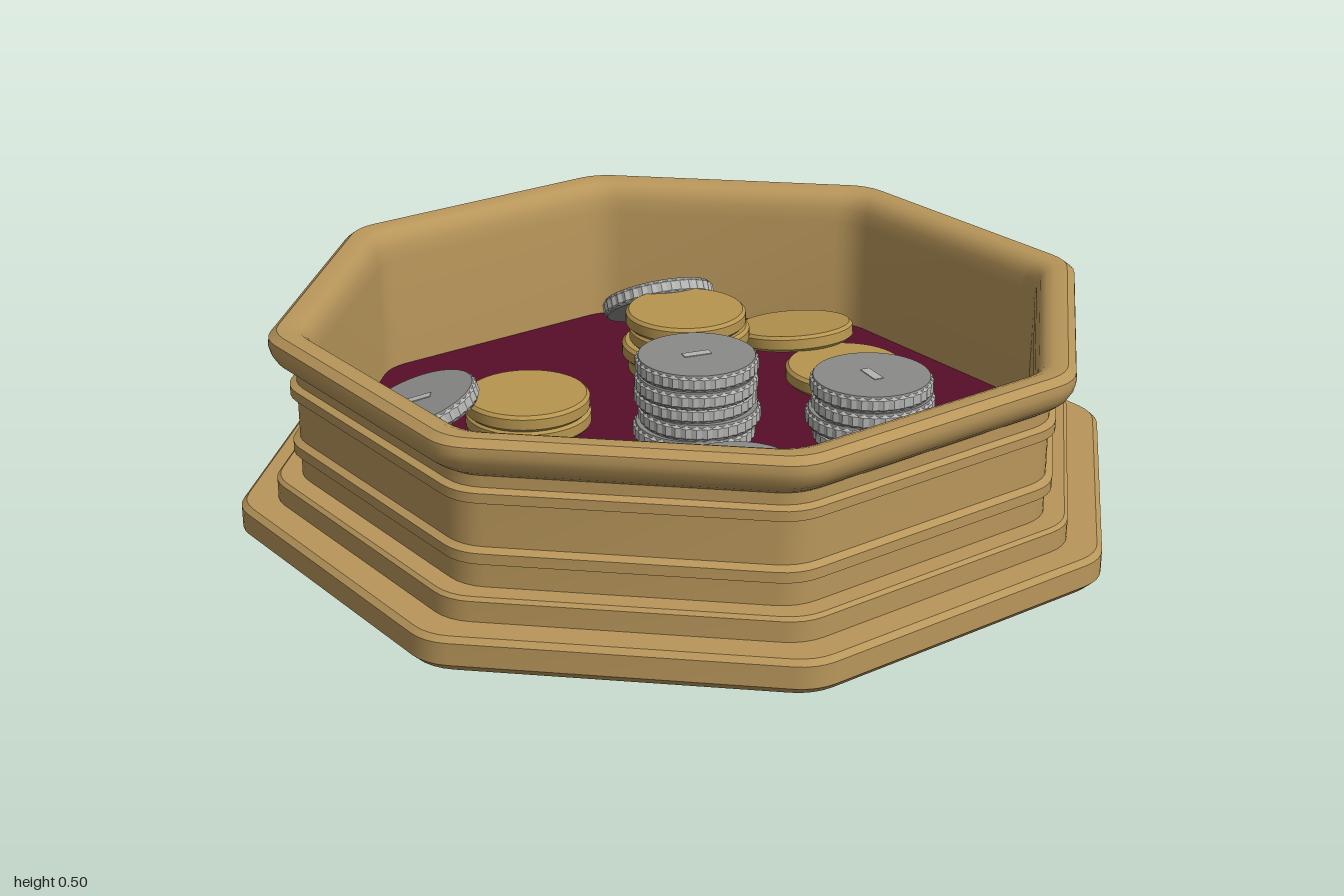
import * as THREE from 'three';
import { toCreasedNormals } from 'three/addons/utils/BufferGeometryUtils.js';

const material = (name, color) => {
  const m = new THREE.MeshStandardMaterial({ color });
  m.name = name;
  return m;
};

// Sweep a profile of [apothem, height] points around an octagon with rounded corners
function octagonLoft(profile, radius = 0.12, steps = 4) {
  const pos = [], index = [], n = 8 * (steps + 1), half = Math.PI / 8;
  for (const [a, y] of profile) {
    const r = Math.min(radius, a), d = (a - r) / Math.cos(half);
    for (let c = 0; c < 8; c++) {
      const mid = half + c * 2 * half;
      for (let s = 0; s <= steps; s++) {
        const t = mid - half + (s / steps) * 2 * half;
        pos.push(d * Math.cos(mid) + r * Math.cos(t), y, d * Math.sin(mid) + r * Math.sin(t));
      }
    }
  }
  for (let i = 0; i < profile.length - 1; i++) {
    for (let j = 0; j < n; j++) {
      const k = (j + 1) % n, a = i * n, b = a + n;
      index.push(a + j, b + j, a + k, b + j, b + k, a + k);
    }
  }
  const g = new THREE.BufferGeometry();
  g.setAttribute('position', new THREE.Float32BufferAttribute(pos, 3));
  g.setIndex(index);
  return toCreasedNormals(g, 0.5);
}

const lathe = (pts, segments) =>
  new THREE.LatheGeometry(pts.map(([x, y]) => new THREE.Vector2(x, y)), segments);

export function createModel() {
  const model = new THREE.Group();
  model.name = 'coinTray';
  const wood = material('goldenBrown', 0xb8965a);
  const cloth = material('maroon', 0x560e28);
  const gold = material('gold', 0xb6954f);
  const silver = material('silver', 0x8a8a88);
  const paleSilver = material('paleSilver', 0xb4b4b2);

  const add = (parent, name, geometry, mat) => {
    const mesh = new THREE.Mesh(geometry, mat);
    mesh.name = name;
    parent.add(mesh);
    return mesh;
  };

  // Moulded case: underside, stepped plinth, two beads, flared rim, inner wall
  const floorY = 0.13;
  add(model, 'trayCase', octagonLoft([
    [0, 0], [0.98, 0], [1, 0.02], [1, 0.072], [0.988, 0.084],
    [0.92, 0.084], [0.92, 0.132], [0.912, 0.14],
    [0.865, 0.14], [0.865, 0.195], [0.88, 0.2], [0.88, 0.225], [0.865, 0.235],
    [0.865, 0.335], [0.88, 0.342], [0.88, 0.365], [0.865, 0.373],
    [0.865, 0.4], [0.885, 0.413], [0.903, 0.428], [0.915, 0.448],
    [0.92, 0.468], [0.918, 0.485], [0.9, 0.5],
    [0.868, 0.5], [0.85, 0.493], [0.836, 0.478], [0.828, 0.455],
    [0.825, 0.42], [0.825, floorY - 0.01],
  ]), wood);
  add(model, 'clothFloor', octagonLoft([[0.826, floorY], [0, floorY]]), cloth);

  // Coin geometry
  const H = 0.042, R = 0.155;
  const goldBody = toCreasedNormals(lathe([
    [0, 0], [R - 0.008, 0], [R, 0.008], [R, H - 0.008], [R - 0.008, H], [0, H],
  ], 48), 0.5);
  const S = 0.15;
  const silverBody = toCreasedNormals(lathe([
    [0, 0], [S - 0.008, 0], [S - 0.005, 0.008], [S - 0.005, H - 0.008], [S - 0.008, H], [0, H],
  ], 48), 0.5);
  // Reeded edge: every other column of the band is pulled inward
  const edge = lathe([[S - 0.008, 0.002], [S, 0.009], [S, H - 0.009], [S - 0.008, H - 0.002]], 72);
  const p = edge.attributes.position;
  for (let i = 0; i < p.count; i++) {
    const column = Math.floor(i / 4) % 72;
    if (column % 2) p.setXYZ(i, p.getX(i) * 0.975, p.getY(i), p.getZ(i) * 0.975);
  }
  const silverEdge = toCreasedNormals(edge, 0.3);
  const markGeometry = new THREE.BoxGeometry(0.07, 0.004, 0.024);

  function coin(parent, isSilver, x, y, z) {
    const g = new THREE.Group();
    g.name = isSilver ? 'silverCoin' : 'goldCoin';
    add(g, 'coinBody', isSilver ? silverBody : goldBody, isSilver ? silver : gold);
    if (isSilver) add(g, 'coinEdge', silverEdge, paleSilver);
    g.position.set(x, y, z);
    parent.add(g);
    return g;
  }
  function addMark(g, angle) {
    const m = add(g, 'coinMark', markGeometry, paleSilver);
    m.position.y = H;
    m.rotation.y = angle;
  }

  // Upright stacks: silver?, x, z, count, mark angle
  const stacks = [
    [true, 0, -0.035, 5, 1.3],
    [true, 0.275, -0.355, 4, -0.2],
    [true, 0.43, 0.18, 3, 0.6],
    [true, 0.13, 0.38, 1, -0.3],
    [false, -0.355, -0.27, 4],
    [false, -0.3, 0.26, 2],
    [false, -0.05, -0.555, 1],
    [false, 0.58, -0.19, 1],
  ];
  for (const [isSilver, x, z, count, mark] of stacks) {
    const stack = new THREE.Group();
    stack.name = isSilver ? 'silverStack' : 'goldStack';
    model.add(stack);
    for (let i = 0; i < count; i++) {
      const last = i === count - 1, j = last ? 0 : 0.008;
      const c = coin(stack, isSilver, x + j * Math.sin(i * 2.4 + x * 9), floorY + i * H, z + j * Math.cos(i * 2.4 + z * 9));
      if (last && isSilver) addMark(c, mark);
    }
  }

  // Leaning coins: silver?, x, base height, z, uphill direction (x, z), tilt, mark angle
  const leaning = [
    [true, -0.575, 0.215, -0.35, 0.95, 0.3, 0.6, 1.4],
    [true, -0.42, 0.175, 0.485, 0.5, -0.87, 0.32, 0.9],
    [false, -0.31, 0.15, -0.6, 1, 0.15, 0.15, 0],
    [false, 0.08, 0.15, 0.63, 0.2, -1, 0.15, 0],
  ];
  for (const [isSilver, x, y, z, ux, uz, tilt, mark] of leaning) {
    const c = coin(model, isSilver, x, y, z);
    c.quaternion.setFromAxisAngle(new THREE.Vector3(-uz, 0, ux).normalize(), -tilt);
    // uphill side rises when turning about the horizontal axis square to it
    if (new THREE.Vector3(ux, 0, uz).applyQuaternion(c.quaternion).y < 0) c.quaternion.invert();
    if (isSilver) addMark(c, mark);
  }
  return model;
}
